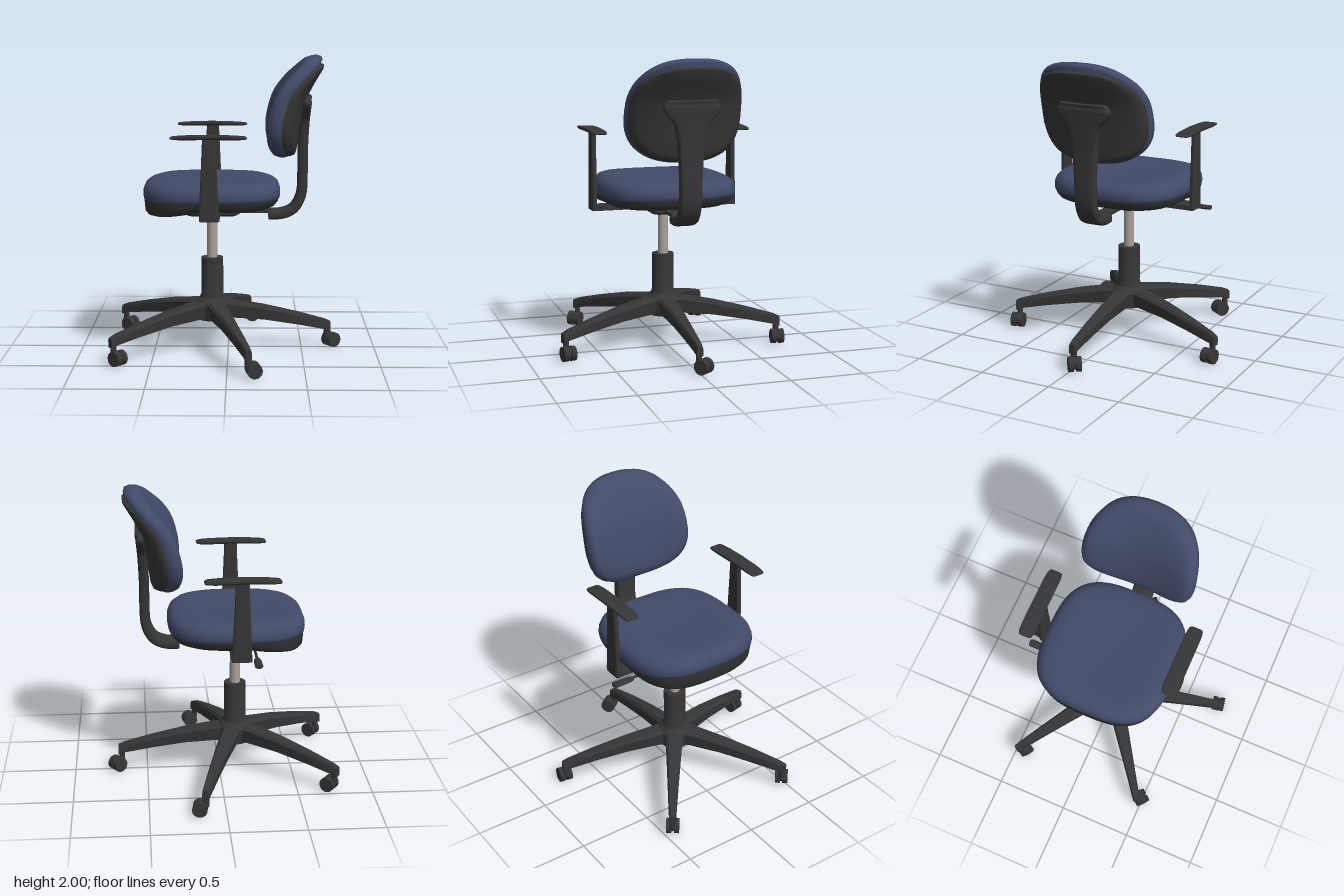
import * as THREE from 'three';
import { toCreasedNormals } from 'three/addons/utils/BufferGeometryUtils.js';

const V = (x, y, z) => new THREE.Vector3(x, y, z);

// Unit superellipse as [a, b] pairs; a larger n gives a squarer outline
function outline(n, count) {
  const pts = [];
  for (let i = 0; i < count; i++) {
    const t = (i / count) * Math.PI * 2, c = Math.cos(t), s = Math.sin(t);
    pts.push([Math.sign(c) * Math.abs(c) ** (2 / n), Math.sign(s) * Math.abs(s) ** (2 / n)]);
  }
  return pts;
}

// Closed skin through equal-length rings, capped at both ends, always facing outward
function loft(rings, crease = 0.7) {
  const n = rings[0].length, pts = rings.flat(), idx = [];
  for (let r = 0; r < rings.length - 1; r++) {
    for (let i = 0; i < n; i++) {
      const a = r * n + i, b = r * n + (i + 1) % n;
      idx.push(a, b, a + n, b, b + n, a + n);
    }
  }
  for (const end of [0, rings.length - 1]) {
    const mid = V(0, 0, 0);
    rings[end].forEach((p) => mid.addScaledVector(p, 1 / n));
    const m = pts.push(mid) - 1;
    for (let i = 0; i < n; i++) {
      const a = end * n + i, b = end * n + (i + 1) % n;
      idx.push(...(end ? [a, b, m] : [b, a, m]));
    }
  }
  let volume = 0;
  for (let i = 0; i < idx.length; i += 3) {
    volume += pts[idx[i]].dot(V(0, 0, 0).crossVectors(pts[idx[i + 1]], pts[idx[i + 2]]));
  }
  if (volume < 0) idx.reverse();
  const g = new THREE.BufferGeometry().setFromPoints(pts);
  g.setIndex(idx);
  return toCreasedNormals(g, crease);
}

export function createModel() {
  const group = new THREE.Group();
  const mat = (name, color) => Object.assign(new THREE.MeshStandardMaterial({ color }), { name });
  const fabric = mat('blueFabric', 0x424a68);
  const plastic = mat('blackPlastic', 0x363636);
  const metal = mat('greyMetal', 0xaaa29a);
  const CX = -0.11;

  const add = (name, geo, material, x = 0, y = 0, z = 0, parent = group) => {
    const m = new THREE.Mesh(geo, material);
    m.name = name;
    m.position.set(x, y, z);
    parent.add(m);
    return m;
  };
  const box = (w, h, d) => new THREE.BoxGeometry(w, h, d);

  // Column, gas lift and hub
  const column = [[0, 0.2], [0.1, 0.2], [0.12, 0.31], [0.105, 0.335], [0.085, 0.35], [0.075, 0.38], [0.075, 0.63], [0, 0.63]];
  add('column', toCreasedNormals(new THREE.LatheGeometry(column.map((p) => new THREE.Vector2(...p)), 32), 0.6), plastic, CX);
  add('gasLift', new THREE.CylinderGeometry(0.035, 0.035, 0.34, 24), metal, CX, 0.78);

  // Five-legged base: [radius, top, bottom, half width at top, half width at bottom]
  const legSections = [
    [0, 0.33, 0.21, 0.065, 0.05], [0.13, 0.328, 0.215, 0.06, 0.045], [0.35, 0.295, 0.2, 0.048, 0.038],
    [0.58, 0.246, 0.165, 0.036, 0.03], [0.77, 0.197, 0.13, 0.026, 0.024], [0.81, 0.18, 0.115, 0.022, 0.022],
  ];
  const legGeo = loft(legSections.map(([r, t, b, wt, wb]) => [
    V(r, b, -wb), V(r, t - 0.02, -wt), V(r, t, -wt * 0.7), V(r, t, wt * 0.7), V(r, t - 0.02, wt), V(r, b, wb),
  ]), 0.5);
  const wheelGeo = toCreasedNormals(new THREE.CylinderGeometry(0.05, 0.05, 0.034, 24).rotateX(Math.PI / 2), 0.6);
  const hoodGeo = toCreasedNormals(new THREE.CylinderGeometry(0.04, 0.04, 0.02, 20).rotateX(Math.PI / 2), 0.6);
  [-0.64, -0.2, 0.7, 0.65, 0.15].forEach((swivel, i) => {
    const a = (i / 5) * Math.PI * 2;
    add('baseLeg', legGeo, plastic, CX).rotation.y = -a;
    const caster = new THREE.Group();
    caster.name = 'caster';
    caster.position.set(CX + Math.cos(a) * 0.785, 0, Math.sin(a) * 0.785);
    caster.rotation.y = -swivel;
    group.add(caster);
    add('casterStem', new THREE.CylinderGeometry(0.02, 0.02, 0.09, 16), plastic, 0, 0.11, 0, caster);
    add('casterHood', hoodGeo, plastic, 0.04, 0.055, 0, caster);
    for (const s of [-1, 1]) add('casterWheel', wheelGeo, plastic, 0.04, 0.05, s * 0.026, caster);
  });

  // Seat: rings are [scale, height]; the front of the shell dips, the top is slightly dished
  const seatOutline = outline(3, 64);
  const seat = (rings) => loft(rings.map(([s, y]) => seatOutline.map(([a, b]) => {
    const x = CX + 0.46 * s * a, z = 0.46 * s * b;
    const dip = y < 1.05 ? Math.max(0, -a * s - 0.15) * 0.08 : 0;
    const dish = y > 1.15 ? 0.02 * (1 - Math.min(1, Math.abs(z) / 0.32) ** 2) * (1 - a * a * s * s) : 0;
    return V(x, y - dip - dish, z);
  })), 1.1);
  add('seatShell', seat([[0.4, 0.985], [0.7, 0.988], [0.84, 0.995], [0.93, 1.015], [0.97, 1.04], [0.985, 1.062]]), plastic);
  add('seatCushion', seat([[0.97, 1.055], [0.99, 1.06], [1, 1.085], [0.995, 1.115], [0.97, 1.145], [0.92, 1.166],
    [0.85, 1.178], [0.7, 1.182], [0.5, 1.182], [0.25, 1.182], [0.02, 1.182]]), fabric);

  // Backrest: rings are [scale, distance forward of the curved rear surface]
  const spine = new THREE.CatmullRomCurve3([V(0.455, 1.32, 0), V(0.47, 1.46, 0), V(0.495, 1.6, 0),
    V(0.535, 1.74, 0), V(0.595, 1.85, 0), V(0.645, 1.93, 0), V(0.67, 2, 0)]).getPoints(60);
  const rearX = (y) => {
    const i = Math.max(1, spine.findIndex((p, k) => p.y >= y || k === 60));
    const p = spine[i - 1], q = spine[i];
    return THREE.MathUtils.mapLinear(y, p.y, q.y, p.x, q.x);
  };
  const backOutline = outline(2.6, 64);
  const back = (rings, drop) => loft(rings.map(([s, d]) => backOutline.map(([a, b]) => {
    const z = 0.39 * s * a * (1 - 0.04 * b);
    const y = 1.66 + 0.34 * s * b - drop * Math.max(0, b) ** 2 * s;
    return V(rearX(y) - 0.6 * z * z - d, y, z);
  })), 1.1);
  add('backrestShell', back([[0.02, 0], [0.3, 0], [0.6, 0], [0.85, 0.002], [0.94, 0.012], [0.975, 0.04], [0.97, 0.065]], 0.045), plastic);
  add('backrestCushion', back([[0.92, 0.035], [0.97, 0.045], [1, 0.075], [0.995, 0.105], [0.96, 0.138], [0.9, 0.158],
    [0.8, 0.17], [0.6, 0.172], [0.3, 0.168], [0.02, 0.165]], 0), fabric);

  // Curved back support: x, y and half width along the path
  const bar = new THREE.CatmullRomCurve3([V(0.27, 0.93, 0.07), V(0.36, 0.934, 0.073), V(0.44, 0.97, 0.073),
    V(0.49, 1.06, 0.073), V(0.5, 1.2, 0.073), V(0.5, 1.35, 0.08), V(0.504, 1.48, 0.092), V(0.51, 1.58, 0.115),
    V(0.515, 1.64, 0.165), V(0.52, 1.69, 0.19), V(0.53, 1.735, 0.16)]);
  const barOutline = outline(5, 24);
  add('backSupport', loft(Array.from({ length: 41 }, (_, i) => {
    const p = bar.getPoint(i / 40), t = bar.getTangent(i / 40).setZ(0).normalize();
    const half = i > 37 ? 0.026 : 0.034;
    return barOutline.map(([a, b]) => V(p.x - t.y * a * half, p.y + t.x * a * half, p.z * b));
  })), plastic);

  // Tilt mechanism under the seat
  const mechOutline = outline(6, 32);
  add('mechanism', loft([[0.85, 0.925], [1, 0.94], [1, 0.975], [0.8, 1.0]].map(([s, y]) =>
    mechOutline.map(([a, b]) => V(CX + 0.19 * s * a, y, 0.125 * s * b)))), plastic);
  add('supportTongue', box(0.28, 0.022, 0.09), plastic, 0.2, 0.95, 0);

  // Height lever on the right-hand side of the column
  add('leverRod', new THREE.CylinderGeometry(0.009, 0.009, 0.36, 10).rotateX(Math.PI / 2), plastic, -0.22, 0.95, -0.27);
  add('leverPaddle', loft([[-0.41, 0.012], [-0.45, 0.025], [-0.55, 0.027], [-0.562, 0.02]].map(([z, w]) =>
    outline(3, 16).map(([a, b]) => V(-0.22 + a * w, 0.944 + b * 0.013, z)))), plastic);

  // Armrests, mirrored
  const postOutline = outline(6, 24), padOutline = outline(7, 48);
  for (const s of [-1, 1]) {
    const arm = new THREE.Group();
    arm.name = s > 0 ? 'leftArmrest' : 'rightArmrest';
    group.add(arm);
    add('armBracket', box(0.13, 0.03, 0.42), plastic, CX - 0.005, 0.97, s * 0.295, arm);
    add('armPost', loft([[0.955, 0.065], [1.1, 0.06], [1.3, 0.051], [1.46, 0.044], [1.495, 0.044]].map(([y, w]) =>
      postOutline.map(([a, b]) => V(CX - 0.007 + a * w, y, s * 0.492 + b * 0.017)))), plastic, 0, 0, 0, arm);
    add('armPad', loft([[0.4, 0.55, 1.484], [0.8, 0.85, 1.489], [0.98, 0.97, 1.497], [1, 1, 1.503], [0.97, 0.95, 1.51],
      [0.7, 0.6, 1.512], [0.02, 0.02, 1.512]].map(([sx, sz, y]) => padOutline.map(([a, b]) => {
      const x = 0.247 * sx * a;
      return V(-0.12 + x, y - 0.16 * x * x, s * 0.494 + 0.053 * sz * b);
    }))), plastic, 0, 0, 0, arm);
  }
  return group;
}
